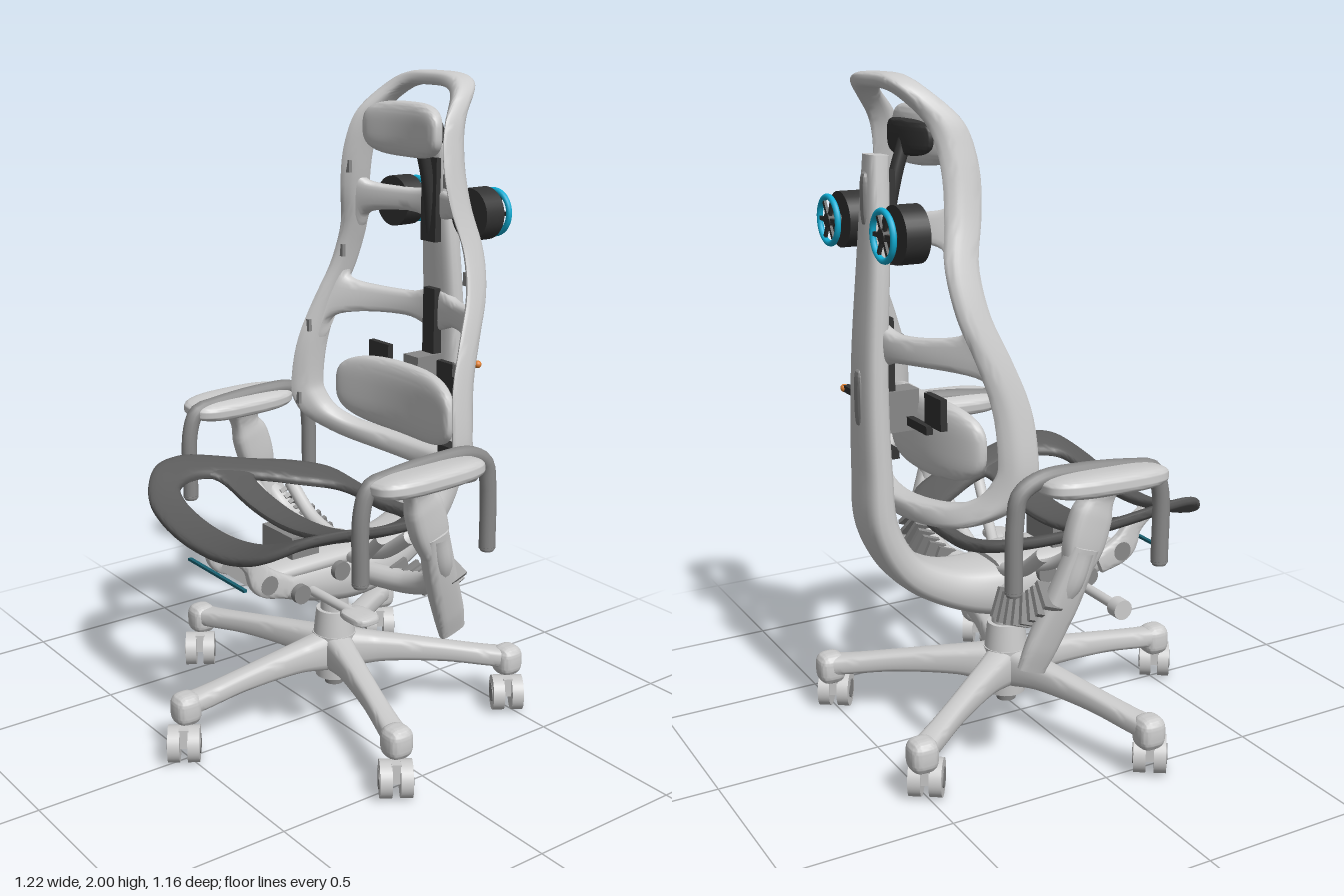
import * as THREE from 'three';
import { toCreasedNormals } from 'three/addons/utils/BufferGeometryUtils.js';

const V = (x, y, z) => new THREE.Vector3(x, y, z);
const mat = (color) => new THREE.MeshStandardMaterial({ color });
const grey = mat(0xcccccc), mid = mat(0x888888), seatDark = mat(0x5a5a5a), black = mat(0x333333);
const blue = mat(0x10b0d8), teal = mat(0x1a6070), orange = mat(0xe08030);

function add(parent, name, geometry, material, x = 0, y = 0, z = 0) {
  const mesh = new THREE.Mesh(geometry, material);
  mesh.name = name;
  mesh.position.set(x, y, z);
  parent.add(mesh);
  return mesh;
}
const box = (w, h, d) => new THREE.BoxGeometry(w, h, d);
const cyl = (r1, r2, h, n = 32) => new THREE.CylinderGeometry(r1, r2, h, n);
const disc = (r, h) => cyl(r, r, h).rotateX(Math.PI / 2);
const tube = (pts, r) => new THREE.TubeGeometry(new THREE.CatmullRomCurve3(pts.map((p) => V(...p))), 48, r, 14);
const power = (v, p) => Math.sign(v) * Math.abs(v) ** p;

// Rounded-square cross-section as (cos, sin) pairs
const SIDES = 20;
const section = Array.from({ length: SIDES }, (_, j) => {
  const a = (j / SIDES) * Math.PI * 2;
  return [power(Math.cos(a), 0.6), power(Math.sin(a), 0.6)];
});

// Skin a list of cross-section rings, capped at the ends unless closed
function loft(rings, closed = false) {
  const pos = [], idx = [], n = rings.length;
  rings.forEach((r) => r.forEach((p) => pos.push(p.x, p.y, p.z)));
  for (let i = 0; i < (closed ? n : n - 1); i++) {
    for (let j = 0; j < SIDES; j++) {
      const k = (j + 1) % SIDES, i2 = (i + 1) % n;
      const a = i * SIDES + j, b = i * SIDES + k, c = i2 * SIDES + k, d = i2 * SIDES + j;
      idx.push(a, b, c, a, c, d);
    }
  }
  if (!closed) for (let j = 1; j < SIDES - 1; j++) {
    const e = (n - 1) * SIDES;
    idx.push(0, j + 1, j, e, e + j, e + j + 1);
  }
  const g = new THREE.BufferGeometry();
  g.setAttribute('position', new THREE.Float32BufferAttribute(pos, 3));
  g.setIndex(idx);
  return toCreasedNormals(g, 0.8);
}

// Sweep in the side plane; each point is [z, y, width, thickness]
function sweep(pts, steps = 40) {
  const path = new THREE.CatmullRomCurve3(pts.map(([z, y]) => V(0, y, z)));
  const size = new THREE.CatmullRomCurve3(pts.map(([, , w, h]) => V(w, h, 0)), false, 'catmullrom');
  return loft(Array.from({ length: steps + 1 }, (_, i) => {
    const t = i / steps, c = path.getPoint(t), s = size.getPoint(t);
    const up = path.getTangent(t).cross(V(1, 0, 0));
    return section.map(([a, b]) => V(a * s.x / 2, 0, 0).add(c).addScaledVector(up, b * s.y / 2));
  }));
}

// Band between two matching edge curves, with thickness, bent by a rule
function band(A, B, thick, bend, closed, steps = 120) {
  const curve = (p) => new THREE.CatmullRomCurve3(p.map(([x, y]) => V(x, y, 0)), closed, 'catmullrom');
  const ca = curve(A), cb = curve(B), n = closed ? steps : steps + 1;
  return loft(Array.from({ length: n }, (_, i) => {
    const a = ca.getPoint(i / steps), b = cb.getPoint(i / steps);
    const m = a.clone().add(b).multiplyScalar(0.5), h = a.sub(b).multiplyScalar(0.5);
    return section.map(([c, s]) => bend(m.x + h.x * c, m.y + h.y * c, s * thick / 2));
  }), closed);
}
const mirrorRing = (half) => [...half, ...half.slice(1, -1).reverse().map(([x, y]) => [-x, y])];
const mirrorBar = (half) => [...half, ...half.slice(0, -1).reverse().map(([x, y]) => [-x, y])];

// Smooth lookup of values spaced evenly between lo and hi
function table(lo, hi, values) {
  const c = new THREE.SplineCurve(values.map((v, i) => new THREE.Vector2(i, v)));
  return (t) => c.getPoint(THREE.MathUtils.clamp((t - lo) / (hi - lo), 0, 1)).y;
}

// Soft pillow whose ends curve forward
function pillow(w, h, d, curl = 0) {
  const g = new THREE.SphereGeometry(1, 48, 32), p = g.attributes.position;
  for (let i = 0; i < p.count; i++) {
    const x = power(p.getX(i), 0.65);
    p.setXYZ(i, x * w / 2, power(p.getY(i), 0.65) * h / 2, power(p.getZ(i), 0.65) * d / 2 + curl * x * x);
  }
  return toCreasedNormals(g, 1.2);
}

function buildBase(root) {
  const base = new THREE.Group();
  base.name = 'base';
  base.position.z = -0.07;
  root.add(base);
  add(base, 'hub', cyl(0.07, 0.06, 0.15), grey, 0, 0.18);
  add(base, 'hubPlug', cyl(0.035, 0.03, 0.05), mid, 0, 0.1);
  add(base, 'columnSleeve', cyl(0.058, 0.068, 0.09), grey, 0, 0.29);
  add(base, 'gasColumn', cyl(0.045, 0.045, 0.12), grey, 0, 0.37);
  for (let i = 0; i < 5; i++) {
    const a = i * Math.PI * 0.4, x = Math.sin(a) * 0.56, z = Math.cos(a) * 0.56;
    add(base, 'baseLeg', sweep([[0.03, 0.195, 0.1, 0.13], [0.15, 0.197, 0.08, 0.09],
      [0.35, 0.183, 0.065, 0.065], [0.5, 0.165, 0.07, 0.06], [0.56, 0.16, 0.08, 0.06]], 24), grey).rotation.y = a;
    add(base, 'casterSocket', pillow(0.085, 0.1, 0.085), grey, x, 0.15, z);
    const caster = new THREE.Group();
    caster.name = 'caster';
    caster.position.set(x + 0.035, 0.056, z + 0.03);
    caster.rotation.y = -0.6;
    base.add(caster);
    add(caster, 'casterFork', box(0.07, 0.06, 0.03), grey, -0.01, 0.025);
    for (const s of [-1, 1]) {
      add(caster, 'casterWheel', disc(0.056, 0.036), grey, 0, 0, s * 0.03);
      add(caster, 'casterHub', disc(0.03, 0.01), mid, 0, 0, s * 0.046);
    }
  }
}

function buildBack(root) {
  // Rail sweeping from under the seat up the back
  add(root, 'spine', sweep([[0.29, 0.535, 0.2, 0.04], [0.2, 0.51, 0.22, 0.1], [0, 0.48, 0.24, 0.16],
    [-0.15, 0.475, 0.24, 0.16], [-0.3, 0.51, 0.2, 0.12], [-0.42, 0.585, 0.19, 0.1], [-0.495, 0.72, 0.19, 0.09],
    [-0.507, 0.9, 0.18, 0.08], [-0.505, 1.2, 0.16, 0.07], [-0.485, 1.5, 0.135, 0.065], [-0.47, 1.78, 0.08, 0.06]], 80), grey);
  // Curved frame, edges forward of the middle
  const edgeZ = table(0.75, 2, [-0.34, -0.24, -0.225, -0.235, -0.28, -0.335, -0.35, -0.32, -0.31, -0.34, -0.45]);
  const midZ = table(0.75, 2, [-0.42, -0.44, -0.45, -0.47, -0.48, -0.48, -0.475, -0.47, -0.46, -0.45, -0.455]);
  const halfW = table(0.75, 2, [0.38, 0.41, 0.41, 0.395, 0.37, 0.335, 0.3, 0.27, 0.245, 0.218, 0.175]);
  const bend = (x, y, w) => V(x, y, w + THREE.MathUtils.lerp(midZ(y), edgeZ(y), Math.min(1.1, (x / halfW(y)) ** 2)));
  const outer = [[0, 2], [0.1, 1.995], [0.167, 1.965], [0.212, 1.89], [0.238, 1.79], [0.277, 1.6], [0.333, 1.4],
    [0.38, 1.2], [0.412, 1], [0.41, 0.9], [0.37, 0.82], [0.26, 0.772], [0, 0.755]];
  const inner = [[0, 1.957], [0.08, 1.953], [0.132, 1.93], [0.176, 1.87], [0.203, 1.78], [0.242, 1.6], [0.3, 1.4],
    [0.343, 1.2], [0.365, 1], [0.357, 0.93], [0.315, 0.868], [0.22, 0.835], [0, 0.822]];
  add(root, 'backFrame', band(mirrorRing(outer), mirrorRing(inner), 0.08, bend, true, 160), grey);
  add(root, 'upperCrossbar', band(mirrorBar([[-0.24, 1.7], [-0.215, 1.65], [-0.1, 1.635], [0, 1.645]]),
    mirrorBar([[-0.265, 1.5], [-0.23, 1.55], [-0.1, 1.56], [0, 1.54]]), 0.05, bend, false, 48), grey);
  add(root, 'lowerCrossbar', band(mirrorBar([[-0.315, 1.38], [-0.29, 1.32], [-0.12, 1.3], [0, 1.33]]),
    mirrorBar([[-0.355, 1.12], [-0.32, 1.205], [-0.12, 1.22], [0, 1.19]]), 0.05, bend, false, 48), grey);

  // Cushions with their brackets
  add(root, 'headrest', pillow(0.35, 0.165, 0.07, 0.03), grey, 0, 1.83, -0.345);
  add(root, 'headrestBacking', pillow(0.27, 0.1, 0.03, 0.02), black, 0, 1.825, -0.385);
  add(root, 'headrestStem', tube([[0, 1.82, -0.38], [0, 1.73, -0.41], [0, 1.62, -0.435], [0, 1.5, -0.45]], 0.02), black);
  add(root, 'headrestRail', box(0.07, 0.26, 0.03), black, 0, 1.61, -0.445);
  add(root, 'lumbarCushion', pillow(0.57, 0.23, 0.07, 0.05), grey, 0, 0.985, -0.345);
  add(root, 'lumbarRail', box(0.055, 0.22, 0.04), black, 0, 1.22, -0.46);
  add(root, 'lumbarStem', box(0.07, 0.12, 0.1), mid, 0, 1.06, -0.42);
  for (const s of [-1, 1]) {
    add(root, 'lumbarTab', box(0.1, 0.09, 0.02), black, s * 0.17, 1.085, -0.385);
    add(root, 'lumbarTabArm', box(0.14, 0.025, 0.02), black, s * 0.09, 1.03, -0.4);
    for (const y of [0.92, 1.17, 1.42, 1.7]) { // clips set along the frame edge
      const p = bend(s * (halfW(y) - 0.022), y, 0.038);
      add(root, 'frameClip', box(0.016, 0.04, 0.012), mid, p.x, p.y, p.z);
    }
    // Round drum with ring-shaped dial behind the shoulders
    add(root, 'drum', disc(0.08, 0.07), black, s * 0.183, 1.585, -0.47);
    add(root, 'drumStem', disc(0.02, 0.05), black, s * 0.183, 1.585, -0.52);
    add(root, 'dialRing', new THREE.TorusGeometry(0.066, 0.009, 10, 40), blue, s * 0.183, 1.585, -0.537);
    for (const a of [0, Math.PI / 3, -Math.PI / 3])
      add(root, 'dialSpoke', box(0.126, 0.012, 0.008), black, s * 0.183, 1.585, -0.537).rotation.z = a;
  }
  add(root, 'upperSlot', pillow(0.04, 0.15, 0.02), mid, 0, 1.66, -0.505);
  add(root, 'lowerSlot', pillow(0.05, 0.18, 0.02), mid, 0, 1.1, -0.538);
  add(root, 'sideTab', box(0.1, 0.03, 0.05), black, 0.23, 0.865, -0.36);
  add(root, 'sideTabButton', box(0.03, 0.035, 0.02), blue, 0.23, 0.865, -0.385);
  add(root, 'sideKnob', new THREE.SphereGeometry(0.012, 16, 12), orange, 0.15, 1.1, -0.52);
  add(root, 'sideKnobArm', box(0.08, 0.02, 0.02), black, 0.11, 1.1, -0.515);
}

function buildSeat(root) {
  // Sagging ring and crossbar, laid out with the rear at the top
  const dip = table(-0.28, 0.44, [0.65, 0.645, 0.645, 0.65, 0.66, 0.672, 0.675, 0.65]);
  const bend = (x, v, w) => V(x, dip(-v) + w + 0.11 * (x / 0.43) ** 2, -v);
  const flip = (pts) => pts.map(([x, z]) => [x, -z]);
  const outer = flip([[0, -0.28], [0.15, -0.28], [0.27, -0.25], [0.345, -0.15], [0.39, 0], [0.425, 0.15],
    [0.43, 0.25], [0.4, 0.35], [0.32, 0.415], [0.2, 0.437], [0, 0.44]]);
  const inner = flip([[0, -0.235], [0.1, -0.235], [0.18, -0.2], [0.25, -0.1], [0.3, 0], [0.335, 0.15],
    [0.335, 0.24], [0.3, 0.31], [0.23, 0.335], [0.13, 0.34], [0, 0.34]]);
  add(root, 'seatFrame', band(mirrorRing(outer), mirrorRing(inner), 0.035, bend, true, 140), seatDark);
  add(root, 'seatCrossbar', band(mirrorBar(flip([[-0.33, -0.01], [-0.29, 0.033], [-0.15, 0.035], [0, 0.035]])),
    mirrorBar(flip([[-0.36, 0.2], [-0.3, 0.15], [-0.15, 0.145], [0, 0.145]])), 0.03, bend, false, 48), seatDark);

  // Mechanism below
  add(root, 'mechanismCover', sweep([[-0.14, 0.54, 0.19, 0.06], [-0.1, 0.545, 0.22, 0.06], [0.1, 0.545, 0.22, 0.06],
    [0.24, 0.54, 0.21, 0.05], [0.28, 0.535, 0.18, 0.04]], 24), grey);
  add(root, 'seatMount', box(0.16, 0.07, 0.1), mid, 0, 0.61, 0.1);
  add(root, 'frontStrip', box(0.31, 0.008, 0.012), teal, 0, 0.555, 0.37);
  add(root, 'adjusterRod', cyl(0.015, 0.015, 0.74).rotateZ(Math.PI / 2), grey, 0.005, 0.475, 0.1);
  add(root, 'rodKnob', cyl(0.03, 0.03, 0.04).rotateZ(Math.PI / 2), grey, -0.375, 0.475, 0.1);
  add(root, 'rodPaddle', pillow(0.12, 0.03, 0.09), grey, 0.35, 0.475, 0.1);
  for (const s of [-1, 1]) {
    add(root, 'frontLink', sweep([[0.19, 0.51, 0.035, 0.07], [0.28, 0.55, 0.04, 0.09], [0.32, 0.61, 0.035, 0.06],
      [0.37, 0.655, 0.04, 0.05]], 20), grey, s * 0.115);
    for (const [z, y] of [[0.27, 0.54], [0.0, 0.52], [0.15, 0.48]])
      add(root, 'pivot', cyl(0.03, 0.03, 0.02).rotateZ(Math.PI / 2), mid, s * 0.125, y, z);
    add(root, 'seatBrace', tube([[s * 0.09, 0.54, -0.06], [s * 0.2, 0.58, -0.02], [s * 0.35, 0.7, 0.02]], 0.018), grey);
    add(root, 'crossTube', tube([[s * 0.08, 0.54, -0.125], [s * 0.19, 0.575, -0.12], [s * 0.31, 0.66, -0.12]], 0.022), grey);
  }
}

function buildArm(root, s) {
  // Curved carrier with a row of ribs along its rear
  const path = [[s * 0.09, 0.475, -0.12], [s * 0.27, 0.49, -0.16], [s * 0.39, 0.54, -0.15],
    [s * 0.45, 0.62, -0.12], [s * 0.465, 0.72, -0.09]];
  add(root, 'armCarrier', tube(path, 0.036), grey);
  const curve = new THREE.CatmullRomCurve3(path.map((p) => V(...p)));
  for (let i = 2; i < 10; i++) {
    const p = curve.getPoint(i / 14);
    const rib = add(root, 'carrierRib', box(0.014, 0.09, 0.06), mid, p.x, p.y + 0.005, p.z - 0.04);
    rib.rotation.set(0.35, 0, s * Math.atan2(curve.getTangent(i / 14).y, Math.abs(curve.getTangent(i / 14).x)));
  }
  add(root, 'armPost', sweep([[-0.02, 0.91, 0.1, 0.13], [-0.03, 0.86, 0.07, 0.09], [-0.05, 0.81, 0.075, 0.12],
    [-0.075, 0.73, 0.075, 0.12], [-0.1, 0.65, 0.06, 0.08]], 24), grey, s * 0.45);
  const blade = add(root, 'armBlade', sweep([[-0.08, 0.08, 0.06, 0.09], [-0.13, -0.07, 0.065, 0.1],
    [-0.19, -0.22, 0.05, 0.1], [-0.215, -0.29, 0.03, 0.09]], 24), grey, s * 0.45, 0.65);
  blade.rotation.z = -s * 0.16;
  const pad = add(root, 'armPad', pillow(0.175, 0.07, 0.39), grey, s * 0.48, 0.917, -0.03);
  pad.rotation.set(0.02, 0, s * 0.08);
  // Bent bar looping over the pad
  const x = s * 0.455;
  const loop = [[x, 0.63, 0.18], [x, 0.85, 0.177], [x, 0.915, 0.15], [x, 0.93, 0.08], [x, 0.945, -0.1],
    [x, 0.94, -0.22], [x, 0.905, -0.28], [x, 0.83, -0.295], [x, 0.63, -0.3]];
  add(root, 'armLoop', tube(loop, 0.025), mid);
  for (const p of [loop[0], loop[8]]) add(root, 'armLoopEnd', cyl(0.025, 0.02, 0.015), mid, ...p);
}

export function createModel() {
  const root = new THREE.Group(), chair = new THREE.Group();
  root.name = 'chair';
  chair.name = 'chairBody';
  chair.position.x = -0.03;
  root.add(chair);
  for (const build of [buildBase, buildBack, buildSeat]) build(chair);
  for (const s of [-1, 1]) buildArm(chair, s);
  return root;
}
